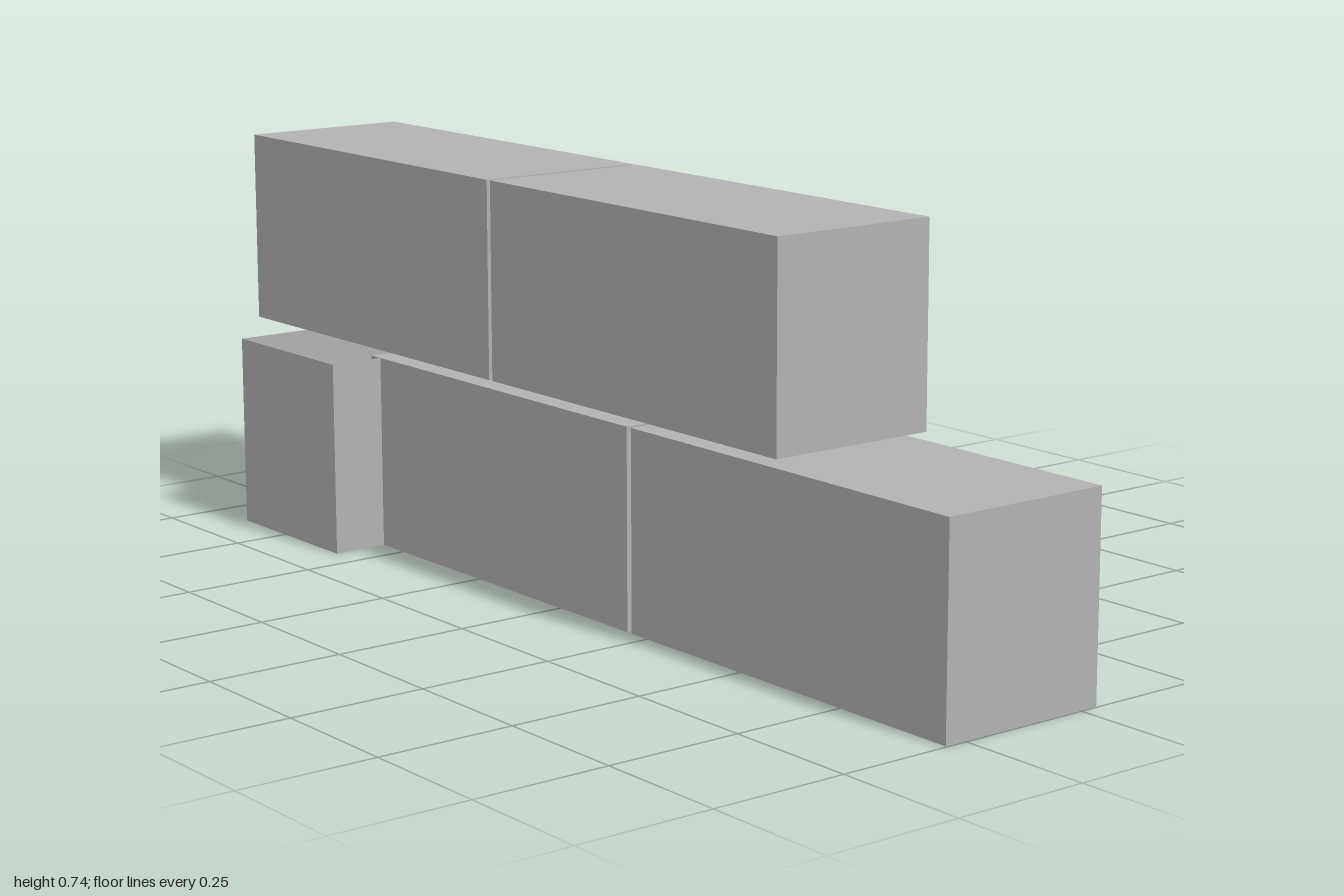
import * as THREE from 'three';

export function createModel() {
  const group = new THREE.Group();
  const grey = new THREE.MeshStandardMaterial({ color: 0xb2b2b2, side: THREE.DoubleSide });
  grey.name = 'blockGrey';

  const LENGTH = 0.79, HEIGHT = 0.362, DEPTH = 0.326;
  const UPPER_Y = 0.377, WALL_Z = 0.127;

  function add(name, geometry, x, y, z) {
    const mesh = new THREE.Mesh(geometry, grey);
    mesh.name = name;
    mesh.position.set(x, y, z);
    group.add(mesh);
    return mesh;
  }

  // Solid blocks in two staggered courses, given by their low x end and base height
  const block = new THREE.BoxGeometry(LENGTH, HEIGHT, DEPTH);
  const blocks = [
    ['lowerBlockLeft', 0.207, 0],
    ['lowerBlockRight', -0.595, 0],
    ['upperBlockLeft', -0.2, UPPER_Y],
    ['upperBlockRight', -1, UPPER_Y],
  ];
  for (const [name, x, y] of blocks) add(name, block, x + LENGTH / 2, y + HEIGHT / 2, WALL_Z);

  // Crosswise end block: four walls, open at top and bottom
  const endX = -0.728;
  const longWall = new THREE.PlaneGeometry(LENGTH, HEIGHT);
  const shortWall = new THREE.PlaneGeometry(DEPTH, HEIGHT);
  for (const s of [-1, 1]) {
    add('endBlockLongWall', longWall, endX + s * DEPTH / 2, HEIGHT / 2, 0).rotation.y = s * Math.PI / 2;
    add('endBlockShortWall', shortWall, endX, HEIGHT / 2, s * LENGTH / 2).rotation.y = s > 0 ? 0 : Math.PI;
  }

  return group;
}
